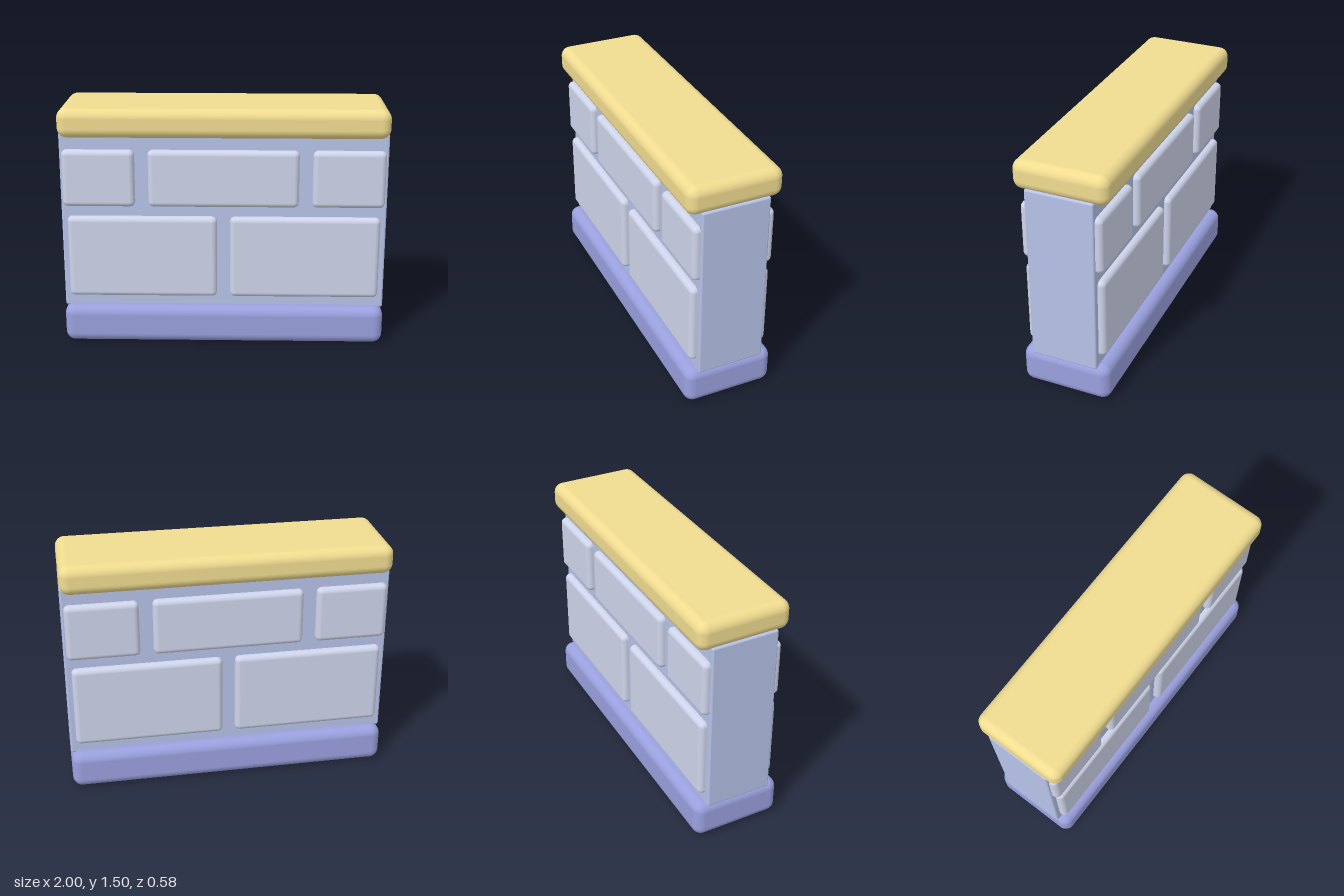
import * as THREE from 'three';
import { RoundedBoxGeometry } from 'three/addons/geometries/RoundedBoxGeometry.js';

const paint = (color) => new THREE.MeshStandardMaterial({ color });

// Rounded block given by its x, y and half-depth extents
function block(name, [x0, x1], [y0, y1], halfDepth, radius, material) {
  const geometry = new RoundedBoxGeometry(x1 - x0, y1 - y0, halfDepth * 2, 5, radius);
  const mesh = new THREE.Mesh(geometry, material);
  mesh.name = name;
  mesh.position.set((x0 + x1) / 2, (y0 + y1) / 2, 0);
  return mesh;
}

export function createModel() {
  const wall = new THREE.Group();
  wall.name = 'stoneWall';

  // Plinth, mortar core and capping slab
  wall.add(
    block('base', [-1, 1], [0, 0.24], 0.28, 0.06, paint(0x9aa0de)),
    block('core', [-1, 1], [0.225, 1.34], 0.208, 0.012, paint(0xb6c2e8)),
    block('cap', [-1, 1], [1.32, 1.5], 0.29, 0.06, paint(0xf0dc90)),
  );

  // Stones run through the core and stand proud on both faces
  const stones = new THREE.Group();
  stones.name = 'stones';
  const stonePaint = paint(0xced4ea);
  const courses = [
    { name: 'lowerStone', y: [0.3, 0.82], spans: [[-0.963, -0.04], [0.04, 0.963]] },
    { name: 'upperStone', y: [0.885, 1.24], spans: [[-0.984, -0.542], [-0.46, 0.46], [0.542, 0.984]] },
  ];
  for (const { name, y, spans } of courses) {
    spans.forEach((x, i) => stones.add(block(name + (i + 1), x, y, 0.25, 0.032, stonePaint)));
  }
  wall.add(stones);
  return wall;
}
